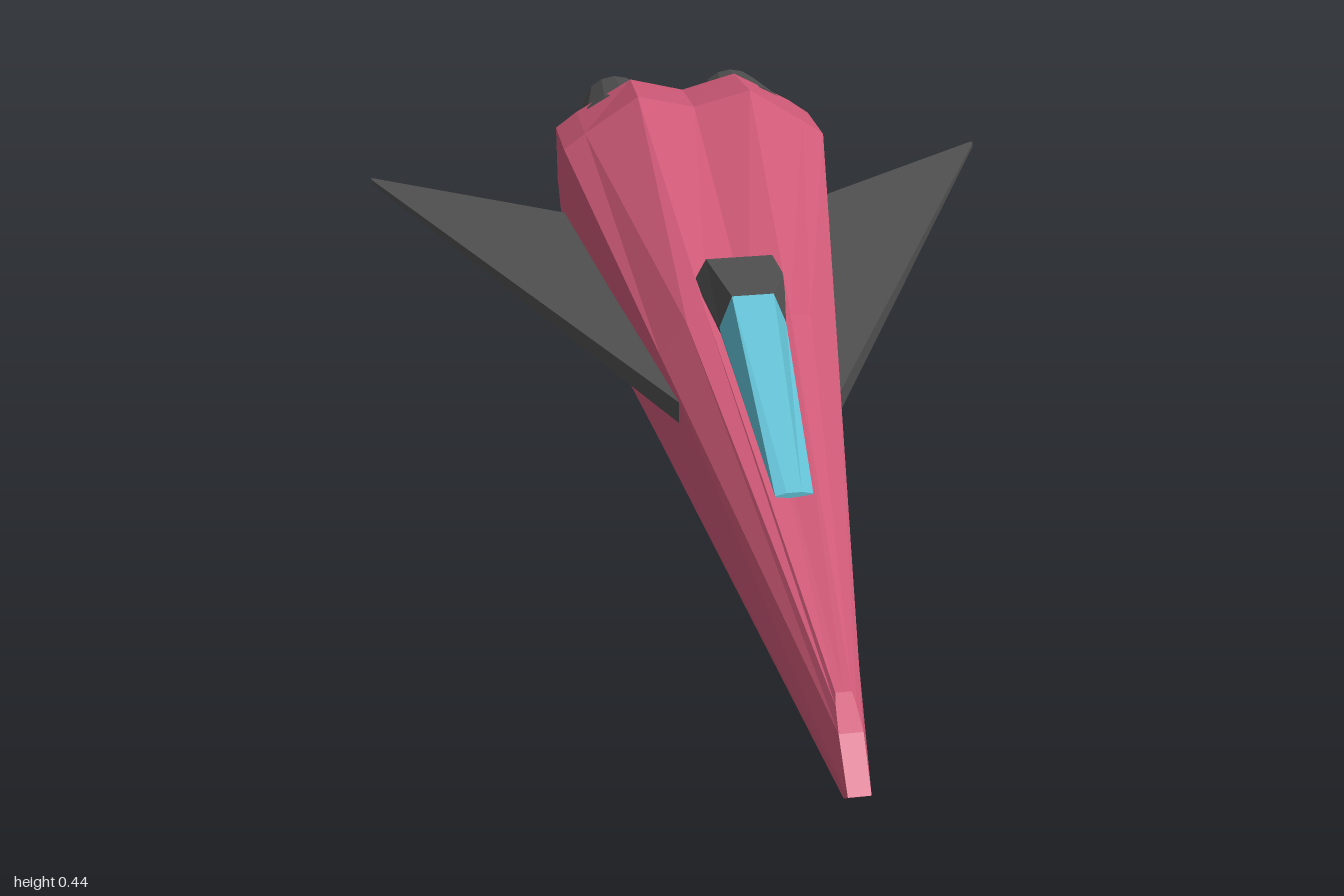
import * as THREE from 'three';

const material = (color) => new THREE.MeshStandardMaterial({ color, flatShading: true });
const hullPaint = material(0xd05a78);
const darkMetal = material(0x505050);
const glass = material(0x62c0d4);
const lampGrey = material(0xcccccc);

// Complete a half section by mirroring it across x = 0.
const mirrored = (half) => [...half, ...half.map(([x, y, z]) => [-x, y, z]).reverse()];

// Join rings of corners with flat faces and close both ends.
function loft(rings) {
  const positions = [];
  const tri = (...corners) => corners.forEach((c) => positions.push(...c));
  const n = rings[0].length;
  for (let i = 0; i < rings.length - 1; i++) {
    for (let k = 0; k < n; k++) {
      const j = (k + 1) % n;
      const a = rings[i][k], b = rings[i][j], c = rings[i + 1][j], d = rings[i + 1][k];
      tri(a, b, c);
      tri(a, c, d);
    }
  }
  // First end: strips across the ring, so a bent end stays crisp
  const first = rings[0];
  for (let k = 0; k < n / 2 - 1; k++) {
    tri(first[k], first[n - 1 - k], first[n - 2 - k]);
    tri(first[k], first[n - 2 - k], first[k + 1]);
  }
  // Last end: fan around the middle
  const last = rings[rings.length - 1];
  const mid = [0, 1, 2].map((axis) => last.reduce((sum, p) => sum + p[axis], 0) / n);
  for (let k = 0; k < n; k++) tri(mid, last[k], last[(k + 1) % n]);

  const geometry = new THREE.BufferGeometry();
  geometry.setAttribute('position', new THREE.Float32BufferAttribute(positions, 3));
  geometry.computeVertexNormals();
  return geometry;
}

function addMesh(parent, name, geometry, mat) {
  const mesh = new THREE.Mesh(geometry, mat);
  mesh.name = name;
  parent.add(mesh);
  return mesh;
}

// Half sections run from the top centre, over the shoulder, to the keel.
function hullGeometry() {
  const bottom = [1, 0.79, 0.55, 0.29, 0];
  const flat = (width, y, z) => bottom.map((f) => [f * width, y, z]);
  const nose = [
    [0, 0.125, 0.87], [0.012, 0.125, 0.87], [0.015, 0.115, 0.89],
    [0.018, 0.095, 0.93], [0.017, 0.035, 1], ...flat(0.015, 0.005, 0.96),
  ];
  const middle = [
    [0, 0.295, 0], [0.07, 0.303, 0], [0.105, 0.295, 0],
    [0.151, 0.239, 0], [0.152, 0.073, 0], ...flat(0.128, 0.046, 0),
  ];
  const widest = [
    [0, 0.415, -0.66], [0.105, 0.442, -0.66], [0.205, 0.375, -0.66],
    [0.245, 0.345, -0.66], [0.245, 0.1, -0.69], ...flat(0.21, 0.075, -0.69),
  ];
  // The lower tail edge is scalloped around the engines
  const tail = [
    [0, 0.385, -0.825], [0.1, 0.412, -0.825], [0.205, 0.352, -0.825],
    [0.245, 0.322, -0.825], [0.245, 0.215, -0.825],
    [0.2, 0.23, -0.825], [0.165, 0.208, -0.825], [0.115, 0.198, -0.825],
    [0.06, 0.215, -0.825], [0, 0.265, -0.825],
  ];
  return loft([nose, middle, widest, tail].map(mirrored));
}

// One wing, lofted from the tip inwards.
function wingGeometry() {
  const section = (x, front, back, low, high) => [
    [x, high, front], [x, high, back], [x, low, back], [x, low, front],
  ];
  return loft([
    section(0.6, -0.925, -0.935, 0.186, 0.194),
    section(0.13, 0.13, -0.6, 0.172, 0.211),
  ]);
}

// A section of the cockpit: narrow roof, wider sill, sunken base.
const cockpitSection = (z, roofX, roofY, sillX, sillY, baseX, baseY) =>
  mirrored([[roofX, roofY, z], [sillX, sillY, z], [baseX, baseY, z]]);

export function createModel() {
  const model = new THREE.Group();
  model.name = 'spacecraft';

  addMesh(model, 'hull', hullGeometry(), hullPaint);

  // Cockpit
  const joint = cockpitSection(0.04, 0.035, 0.36, 0.056, 0.305, 0.05, 0.26);
  addMesh(model, 'canopyGlass', loft([
    cockpitSection(0.45, 0.012, 0.216, 0.03, 0.212, 0.025, 0.18), joint,
  ]), glass);
  addMesh(model, 'canopyHousing', loft([
    joint,
    cockpitSection(-0.11, 0.057, 0.36, 0.078, 0.32, 0.07, 0.28),
    cockpitSection(-0.13, 0.06, 0.335, 0.078, 0.315, 0.07, 0.28),
  ]), darkMetal);

  for (const [side, label] of [[1, 'left'], [-1, 'right']]) {
    // Wing
    addMesh(model, `${label}Wing`, wingGeometry(), darkMetal).scale.x = side;

    // Engine nozzle and its glowing end
    const engine = new THREE.Group();
    engine.name = `${label}Engine`;
    engine.position.set(side * 0.115, 0.297, 0);
    model.add(engine);
    const nozzle = new THREE.CylinderGeometry(0.063, 0.1, 0.18, 16);
    nozzle.rotateX(-Math.PI / 2).translate(0, 0, -0.89);
    addMesh(engine, 'nozzle', nozzle, darkMetal);
    const lamp = new THREE.SphereGeometry(0.05, 12, 4, 0, Math.PI * 2, 0, Math.PI / 2);
    lamp.scale(1, 0.4, 1).rotateX(-Math.PI / 2).translate(0, 0, -0.98);
    addMesh(engine, 'exhaustLamp', lamp, lampGrey);
  }
  return model;
}
